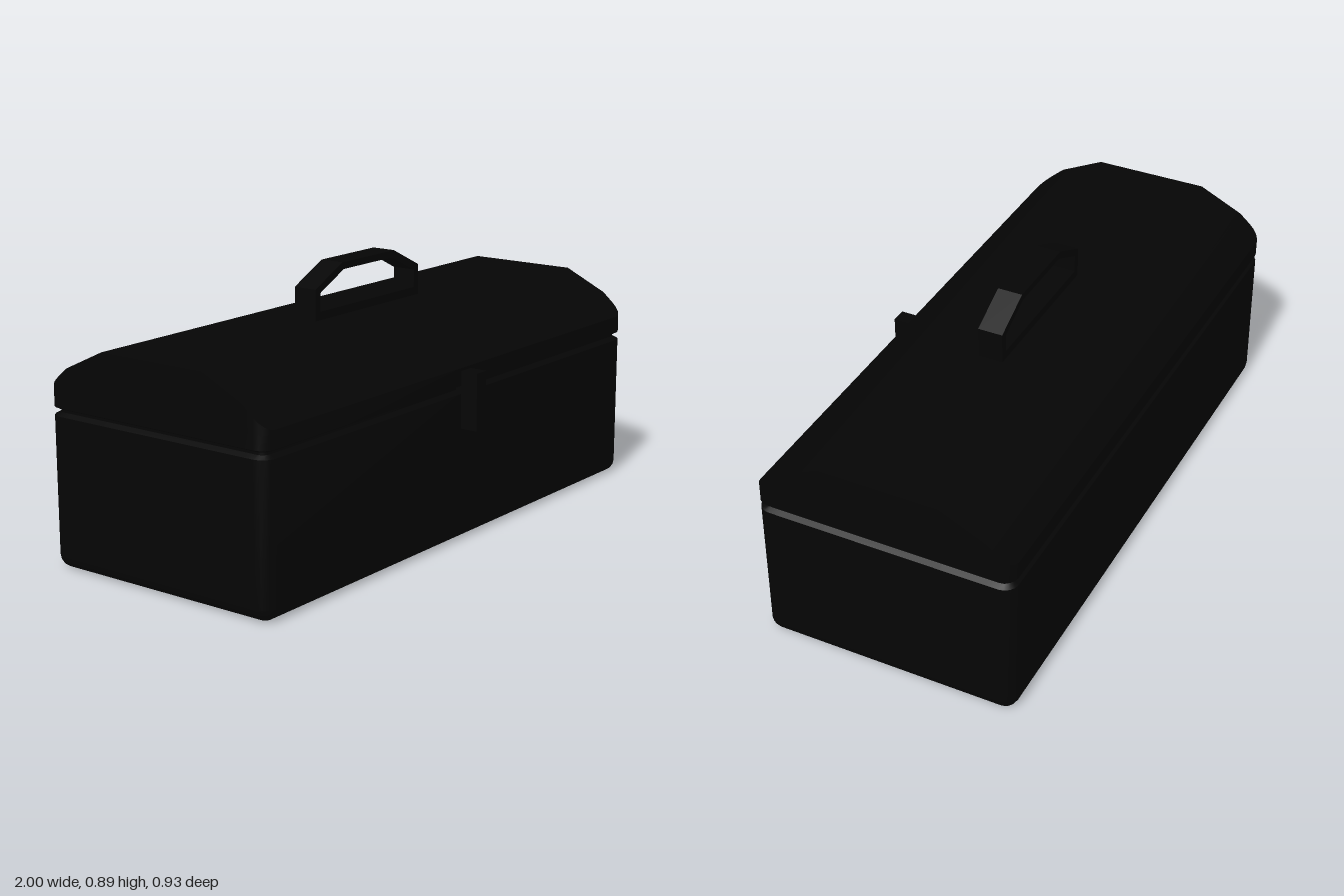
import * as THREE from 'three';
import { toCreasedNormals } from 'three/addons/utils/BufferGeometryUtils.js';

const HALF_X = 1, HALF_Z = 0.433, CENTER_Z = -0.028, RADIUS = 0.045;
// half profile of the lid roof: distance from the centre line, height
const ROOF = [[0, 0.722], [0.198, 0.722], [0.35, 0.65], [HALF_Z, 0.578]];

function roofHeight(z) {
  const d = Math.min(Math.abs(z), HALF_Z);
  const i = Math.max(1, ROOF.findIndex(p => p[0] >= d - 1e-6));
  const [a, b] = [ROOF[i - 1], ROOF[i]];
  return THREE.MathUtils.mapLinear(d, a[0], b[0], a[1], b[1]);
}

// Rounded-rectangle outline: +x half from back to front, then the mirrored -x half
function outline(inset) {
  const r = Math.max(RADIUS - inset, 0.001), steps = 4, front = [];
  for (let i = 0; i <= steps; i++) {
    const t = (i / steps) * Math.PI / 2;
    front.push([HALF_X - RADIUS + r * Math.cos(t), HALF_Z - RADIUS + r * Math.sin(t)]);
  }
  const back = front.map(([x, z]) => [x, -z]).reverse();
  const breaks = [-0.35, -0.198, 0.198, 0.35].map(z => [HALF_X - inset, z]);
  const right = [...back, ...breaks, ...front];
  return [...right, ...right.map(([x, z]) => [-x, z]).reverse()];
}

// Loft through rings of [height or height function, inset], closed at both ends
function shell(levels) {
  const rings = levels.map(([y, inset]) => outline(inset).map(([x, z]) =>
    [x, typeof y === 'function' ? y(z) : y, z + CENTER_Z]));
  const n = rings[0].length, pos = [];
  const quad = (a, b, c, d) => pos.push(...a, ...b, ...c, ...c, ...b, ...d);
  for (let j = 0; j < rings.length - 1; j++) {
    const low = rings[j], up = rings[j + 1];
    for (let i = 0; i < n; i++) {
      const k = (i + 1) % n;
      quad(low[i], up[i], low[k], up[k]);
    }
  }
  const bottom = rings[0], top = rings[rings.length - 1];
  for (let i = 0; i < n / 2 - 1; i++) {
    const m = n - 1 - i;
    quad(top[m], top[m - 1], top[i], top[i + 1]);
    quad(bottom[i], bottom[i + 1], bottom[m], bottom[m - 1]);
  }
  const geometry = new THREE.BufferGeometry();
  geometry.setAttribute('position', new THREE.Float32BufferAttribute(pos, 3));
  return toCreasedNormals(geometry, 0.42);
}

export function createModel() {
  const group = new THREE.Group();
  const material = new THREE.MeshStandardMaterial({ color: 0x050505 });
  const add = (name, geometry, x = 0, y = 0, z = 0) => {
    const mesh = new THREE.Mesh(geometry, material);
    mesh.name = name;
    mesh.position.set(x, y, z);
    group.add(mesh);
  };

  // Box with a rounded bottom edge and a chamfered rim
  const base = [];
  for (let i = 0; i <= 4; i++) {
    const t = (i / 4) * Math.PI / 2;
    base.push([0.042 * (1 - Math.cos(t)), 0.042 * (1 - Math.sin(t))]);
  }
  add('body', shell([...base, [0.493, 0], [0.503, 0.018]]));

  // Recessed seam between box and lid
  add('seam', shell([[0.49, 0.02], [0.525, 0.02]]));

  // Faceted lid
  add('lid', shell([[0.511, 0.018], [0.52, 0], [roofHeight, 0]]));

  // Carrying handle: a flat frame with an angled grip
  const frame = new THREE.Shape([
    [-0.28, 0.715], [0.28, 0.715], [0.28, 0.825], [0.14, 0.893], [-0.14, 0.893], [-0.28, 0.825],
  ].map(p => new THREE.Vector2(...p)));
  frame.holes.push(new THREE.Path([
    [-0.255, 0.75], [-0.255, 0.81], [-0.132, 0.87], [0.132, 0.87], [0.255, 0.81], [0.255, 0.75],
  ].map(p => new THREE.Vector2(...p))));
  add('handle', new THREE.ExtrudeGeometry(frame, { depth: 0.084, bevelEnabled: false }), 0, 0, CENTER_Z - 0.042);

  // Front latch
  add('latch', new THREE.BoxGeometry(0.052, 0.19, 0.085), 0, 0.473, 0.4225);

  return group;
}
